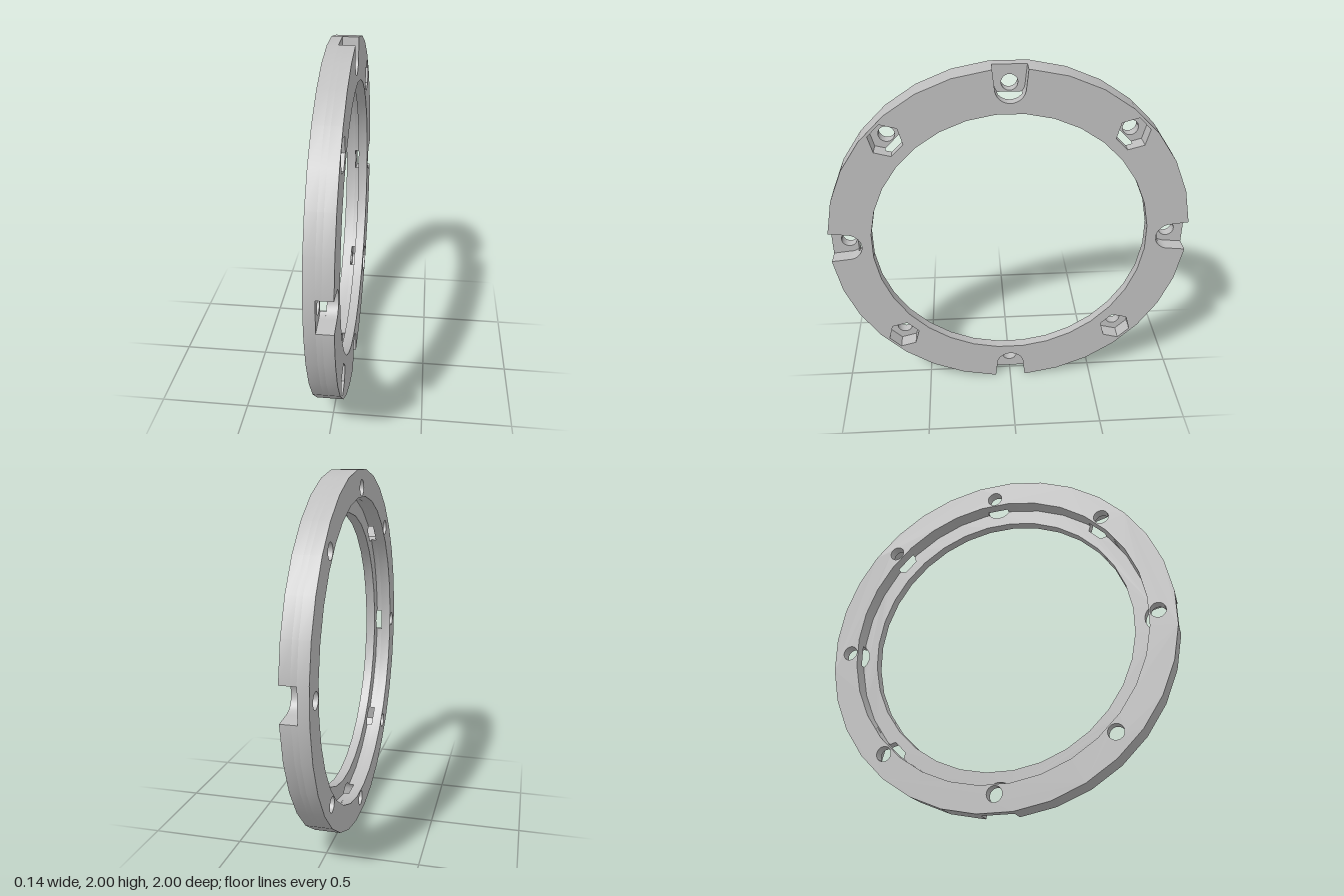
import * as THREE from 'three';
import { toCreasedNormals } from 'three/addons/utils/BufferGeometryUtils.js';

const SIDES = 32, STEP = 360 / SIDES;
const OUTER = 1.0, REBATE = 0.855, BORE = 0.767;   // radii to the middle of a facet
const BOLT = 0.905, POCKET = 0.08, HOLE = 0.043;   // bolt circle, pocket half width, hole radius
const BACK = -0.0715, FLOOR = -0.014, LEDGE = 0.016, FRONT = 0.0715;
const rad = THREE.MathUtils.degToRad;

// point at radius r and sideways offset t, turned by deg around the axis
const at = (r, t, deg) => new THREE.Vector2(r, t).rotateAround(new THREE.Vector2(), rad(deg));

// corners of a ring polygon from one slot to the next
function ringArc(apothem, start, from = 0, to = SIDES / 4) {
  const pts = [];
  for (let k = from; k < to; k++) pts.push(at(apothem / Math.cos(rad(STEP / 2)), 0, start + STEP * (k + 0.5)));
  return pts;
}

function circle(r, deg, n = 24) {
  return Array.from({ length: n }, (_, i) => at(BOLT + r * Math.cos(i / n * Math.PI * 2), r * Math.sin(i / n * Math.PI * 2), deg));
}

// rounded slot end, swept between two angles
function slotArc(deg, a0, a1, n) {
  const pts = [];
  for (let i = 0; i <= n; i++) {
    const a = a0 + (a1 - a0) * i / n;
    pts.push(at(BOLT - POCKET * Math.cos(a), POCKET * Math.sin(a), deg));
  }
  return pts;
}

// hexagon with a flat facing the axis
const HEX = POCKET / Math.cos(Math.PI / 6);
const hexagon = (deg) => Array.from({ length: 6 }, (_, i) => {
  const a = rad(30 + 60 * i);
  return at(BOLT + HEX * Math.cos(a), HEX * Math.sin(a), deg);
});

function layer(name, outline, holes, x0, x1, material) {
  const shape = new THREE.Shape(outline);
  shape.holes = holes.map((h) => new THREE.Path(h));
  const geo = new THREE.ExtrudeGeometry(shape, { depth: x1 - x0, bevelEnabled: false });
  geo.translate(0, 0, x0).rotateY(Math.PI / 2).translate(0, 1, 0);
  const mesh = new THREE.Mesh(toCreasedNormals(geo, rad(30)), material);
  mesh.name = name;
  return mesh;
}

export function createModel() {
  const group = new THREE.Group();
  group.name = 'flangeRing';
  const grey = new THREE.MeshStandardMaterial({ color: 0xbfbfbf });
  grey.name = 'plain grey';
  const quarters = [0, 90, 180, 270];

  // back ring with eight bolt holes and the wide rebate
  const bolts = Array.from({ length: 8 }, (_, i) => circle(HOLE, i * 45));
  group.add(layer('backRing', ringArc(OUTER, 0, 0, SIDES), [ringArc(REBATE, 0, 0, SIDES), ...bolts], BACK, FLOOR, grey));

  // middle segments, where slots and hexagon pockets break into the rebate
  const aOpen = Math.acos((BOLT - REBATE) / POCKET);
  const hexOpen = HEX / 2 * (1 + (REBATE - BOLT + POCKET) / POCKET);
  for (const q of quarters) {
    const h = q + 45;
    const inner = [
      ...ringArc(REBATE, q, 0, SIDES / 8),
      at(REBATE, -hexOpen, h), at(BOLT, -HEX, h),
      at(BOLT + POCKET, -HEX / 2, h), at(BOLT + POCKET, HEX / 2, h),
      at(BOLT, HEX, h), at(REBATE, hexOpen, h),
      ...ringArc(REBATE, q, SIDES / 8, SIDES / 4),
    ];
    const outline = [
      at(OUTER, 0.09, q), ...ringArc(OUTER, q), at(OUTER, -0.09, q + 90),
      ...slotArc(q + 90, -Math.PI / 2, -aOpen, 4),
      ...inner.reverse(),
      ...slotArc(q, aOpen, Math.PI / 2, 4),
    ];
    group.add(layer('middleSegment', outline, [], FLOOR, LEDGE, grey));
  }

  // front ring with four open slots and four hexagon pockets
  const face = quarters.flatMap((q) => [
    at(OUTER, -0.09, q), ...slotArc(q, -Math.PI / 2, Math.PI / 2, 16), at(OUTER, 0.09, q), ...ringArc(OUTER, q),
  ]);
  const hexes = quarters.map((q) => hexagon(q + 45));
  group.add(layer('frontRing', face, [ringArc(BORE, 0, 0, SIDES), ...hexes], LEDGE, FRONT, grey));

  return group;
}
